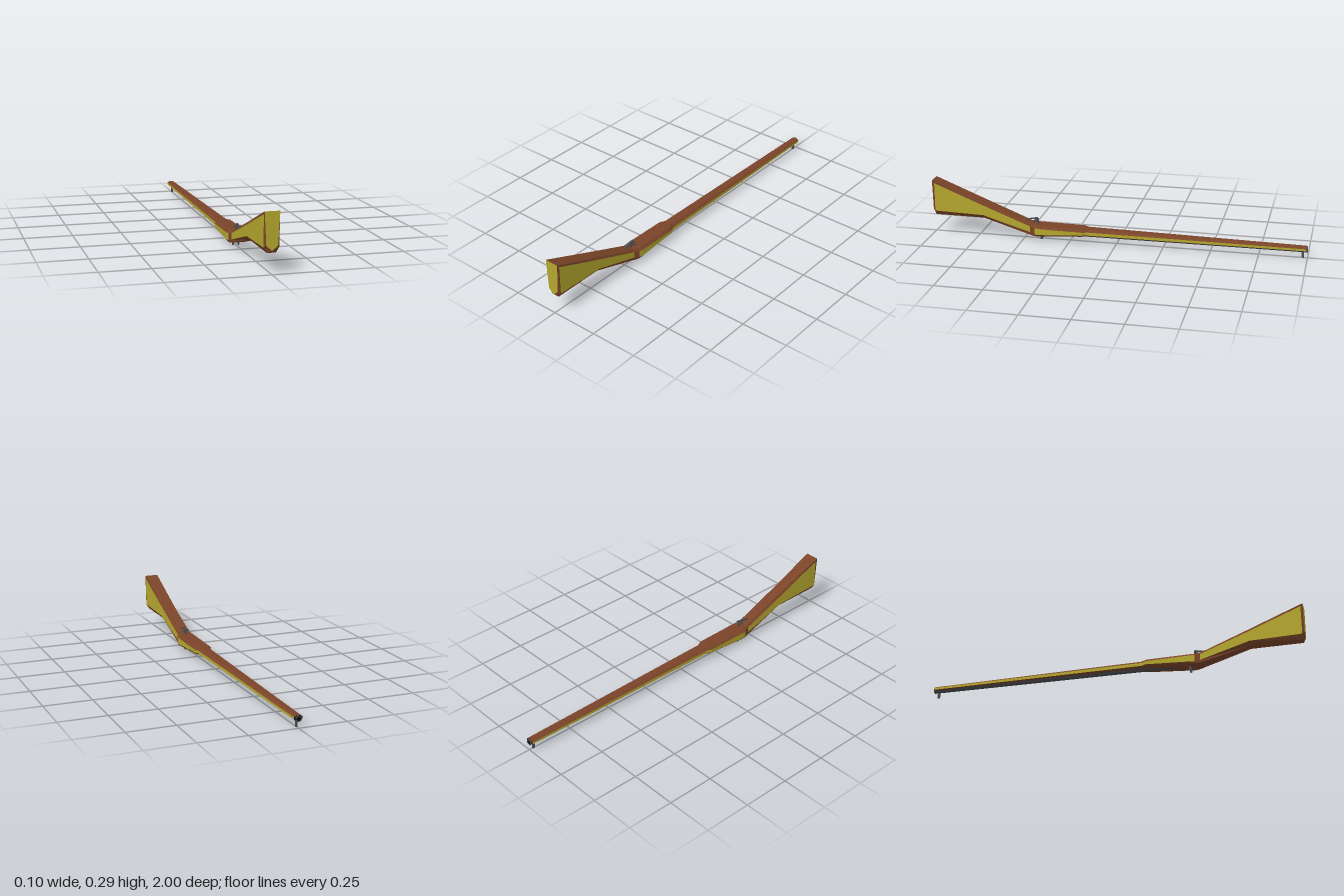
import * as THREE from 'three';

const mat = (color) => new THREE.MeshStandardMaterial({ color, flatShading: true, side: THREE.DoubleSide });
const wood = mat(0x7a4429), panel = mat(0xb5a72e), steel = mat(0x4c4d52), dark = mat(0x0c0c0c);

function mesh(name, geometry, material) {
  const m = new THREE.Mesh(geometry, material);
  m.name = name;
  return m;
}

function fromTriangles(tris) {
  const g = new THREE.BufferGeometry();
  g.setAttribute('position', new THREE.Float32BufferAttribute(tris.flat(), 3));
  g.computeVertexNormals();
  return g;
}

// Mirrored ring of eight points: four half-widths and heights, top to bottom
function ring([z, ...p]) {
  const half = [0, 1, 2, 3].map((i) => [p[2 * i], p[2 * i + 1], z]);
  return [...half, ...half.slice().reverse().map(([x, y]) => [-x, y, z])];
}

// Faceted body through the sections; the side strips of spans from firstPanel on are inlaid
function body(name, sections, firstPanel, frontMaterial, backMaterial) {
  const group = new THREE.Group();
  group.name = name;
  const rings = sections.map(ring);
  const plain = [], inlay = [];
  for (let i = 0; i < rings.length - 1; i++) {
    for (let j = 0; j < 8; j++) {
      const k = (j + 1) % 8;
      const a = rings[i][j], b = rings[i][k], c = rings[i + 1][k], d = rings[i + 1][j];
      const inlaid = j % 4 === 1 && i >= firstPanel;
      (inlaid ? inlay : plain).push(...a, ...b, ...c, ...a, ...c, ...d);
    }
  }
  const cap = (r, flip) => {
    const t = [];
    for (let j = 1; j < 7; j++) t.push(...r[0], ...(flip ? r[j + 1] : r[j]), ...(flip ? r[j] : r[j + 1]));
    return fromTriangles(t);
  };
  group.add(
    mesh(name + 'Wood', fromTriangles(plain), wood),
    mesh(name + 'SidePanels', fromTriangles(inlay), panel),
    mesh(name + 'FrontCap', cap(rings[0], true), frontMaterial),
    mesh(name + 'BackCap', cap(rings[rings.length - 1], false), backMaterial),
  );
  return group;
}

// Plate drawn as (z, y) points, with thickness along x
function plate(name, points, thickness, x = 0) {
  const shape = new THREE.Shape(points.map(([z, y]) => new THREE.Vector2(-z, y)));
  const g = new THREE.ExtrudeGeometry(shape, { depth: thickness, bevelEnabled: false });
  g.translate(0, 0, -thickness / 2);
  g.rotateY(Math.PI / 2);
  g.translate(x, 0, 0);
  return mesh(name, g, steel);
}

export function createModel() {
  const model = new THREE.Group();
  model.name = 'longGun';

  // Butt and wrist
  model.add(body('stock', [
    [1, 0.037, 0.295, 0.036, 0.283, 0.028, 0.135, 0.002, 0.112],
    [0.988, 0.037, 0.291, 0.037, 0.28, 0.037, 0.125, 0.021, 0.1],
    [0.72, 0.03, 0.187, 0.037, 0.173, 0.037, 0.118, 0.021, 0.099],
    [0.46, 0.028, 0.085, 0.037, 0.073, 0.037, 0.041, 0.035, 0.026],
  ], 1, panel, wood));

  // Plain band joining the wrist to the lock section
  model.add(body('wristBand', [
    [0.462, 0.03, 0.086, 0.037, 0.074, 0.038, 0.038, 0.036, 0.026],
    [0.435, 0.034, 0.081, 0.046, 0.069, 0.046, 0.033, 0.041, 0.022],
  ], 2, wood, wood));

  // Wide lock section with tapering side panels
  model.add(body('lockSection', [
    [0.435, 0.034, 0.081, 0.046, 0.069, 0.046, 0.033, 0.041, 0.022],
    [0.41, 0.036, 0.08, 0.05, 0.067, 0.05, 0.033, 0.042, 0.023],
    [0.18, 0.035, 0.077, 0.047, 0.063, 0.046, 0.046, 0.034, 0.036],
    [0.155, 0.025, 0.074, 0.034, 0.061, 0.034, 0.047, 0.027, 0.039],
  ], 0, wood, wood));

  // Long slim fore-end
  model.add(body('foreEnd', [
    [0.17, 0.022, 0.075, 0.035, 0.062, 0.035, 0.045, 0.024, 0.039],
    [-0.995, 0.011, 0.062, 0.022, 0.054, 0.022, 0.043, 0.015, 0.041],
  ], 0, wood, dark));

  // Hollow barrel lying along the underside
  const outline = [[0, 0], [0.02, 0], [0.016, 1.41], [0.011, 1.41], [0.011, 1.36], [0, 1.36]];
  const barrelGeometry = new THREE.LatheGeometry(outline.map(([r, h]) => new THREE.Vector2(r, h)), 10);
  barrelGeometry.rotateX(-Math.PI / 2);
  const barrel = mesh('barrel', barrelGeometry, steel);
  barrel.position.set(0, 0.046, 0.41);
  const bore = mesh('bore', new THREE.CircleGeometry(0.0155, 10), dark);
  bore.rotation.y = Math.PI;
  bore.position.set(0, 0.046, -0.9995);
  model.add(barrel, bore);

  // Sights: notched pair by the breech, single post at the muzzle
  for (const s of [-1, 1]) {
    const leaf = new THREE.Shape([[0.003, 0.034], [0.018, 0.034], [0.018, 0], [0.012, 0]]
      .map(([x, y]) => new THREE.Vector2(s * x, y)));
    const rear = mesh('rearSight', new THREE.ExtrudeGeometry(leaf, { depth: 0.012, bevelEnabled: false }), steel);
    rear.position.z = 0.4;
    model.add(rear);
  }
  const post = mesh('frontSight', new THREE.BoxGeometry(0.008, 0.034, 0.012), steel);
  post.position.set(0, 0.017, -0.975);
  model.add(post);

  // Trigger with its thin curved guard and cross pin
  const trigger = new THREE.Group();
  trigger.name = 'trigger';
  trigger.add(
    plate('triggerGuard', [[0.5, 0.098], [0.47, 0.108], [0.43, 0.115], [0.42, 0.078], [0.428, 0.078],
      [0.437, 0.107], [0.47, 0.102], [0.498, 0.093]], 0.009),
    plate('triggerBlade', [[0.46, 0.083], [0.445, 0.104], [0.439, 0.103], [0.45, 0.08]], 0.008),
  );
  const pin = mesh('crossPin', new THREE.BoxGeometry(0.036, 0.007, 0.009), steel);
  pin.position.set(0, 0.1, 0.433);
  trigger.add(pin);
  model.add(trigger);
  return model;
}
